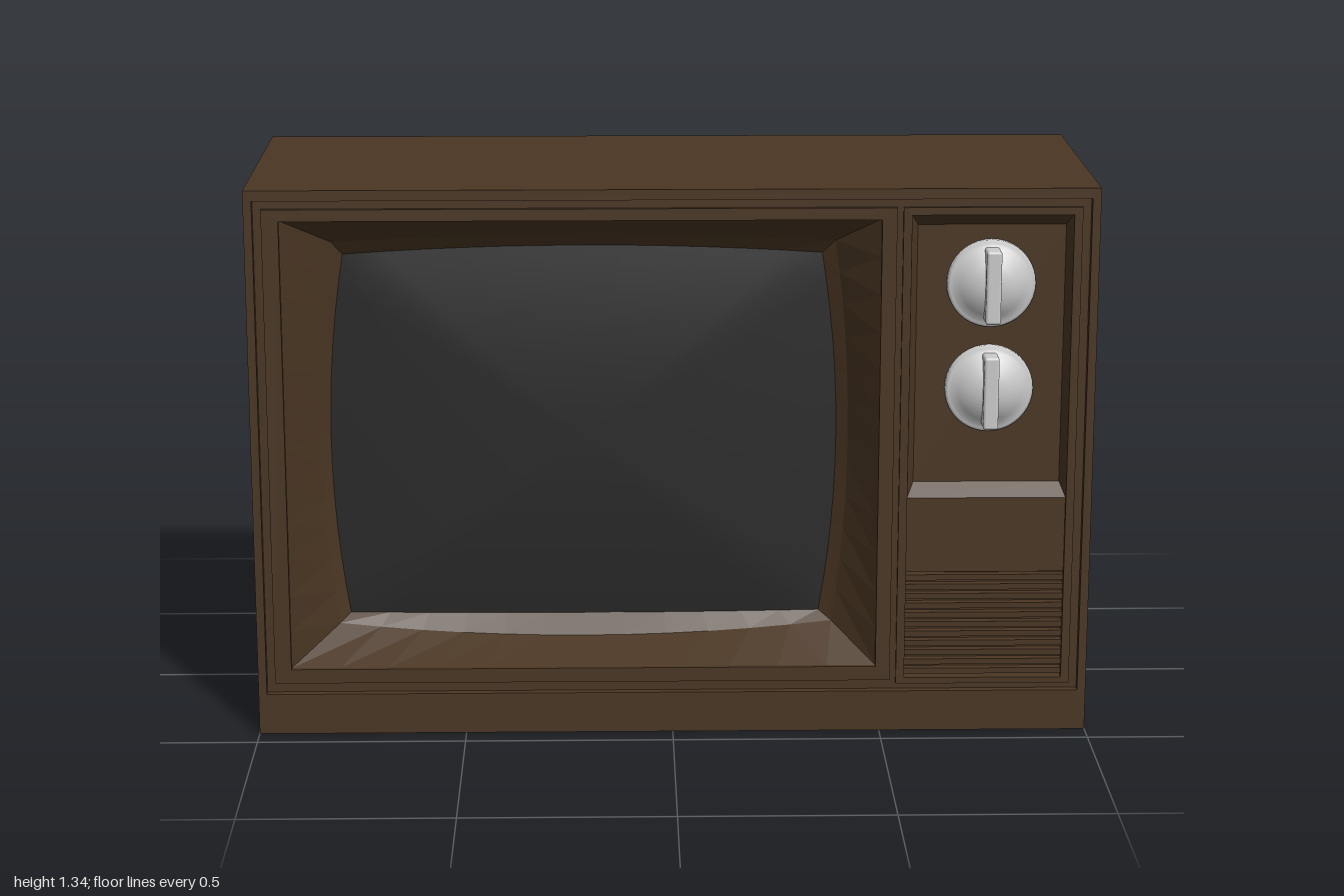
import * as THREE from 'three';
import { RoundedBoxGeometry } from 'three/addons/geometries/RoundedBoxGeometry.js';

const brown = new THREE.MeshStandardMaterial({ color: 0x4a3623 });
const glass = new THREE.MeshStandardMaterial({ color: 0x2a2a2a });
const grey = new THREE.MeshStandardMaterial({ color: 0xcccccc });

// Rectangle as [x0, x1, y0, y1], counter-clockwise, with sides bowed outwards.
function outline([x0, x1, y0, y1], bowX = 0, bowTop = 0, bowBottom = bowTop, steps = 12) {
  const pts = [];
  const side = (ax, ay, bx, by, ox, oy) => {
    for (let i = 0; i < steps; i++) {
      const t = i / steps, k = 4 * t * (1 - t);
      pts.push(new THREE.Vector2(ax + (bx - ax) * t + ox * k, ay + (by - ay) * t + oy * k));
    }
  };
  side(x0, y0, x1, y0, 0, -bowBottom);
  side(x1, y0, x1, y1, bowX, 0);
  side(x1, y1, x0, y1, 0, bowTop);
  side(x0, y1, x0, y0, -bowX, 0);
  return pts;
}
const rect = (r, steps = 1) => outline(r, 0, 0, 0, steps);

// Skin between loops given as [points, z or z function].
function loft(loops, smooth = false) {
  const pos = [], index = [], n = loops[0][0].length;
  for (const [pts, z] of loops) for (const p of pts) pos.push(p.x, p.y, z);
  for (let j = 0; j < loops.length - 1; j++) {
    for (let i = 0; i < n; i++) {
      const a = j * n + i, b = j * n + (i + 1) % n;
      index.push(a, b, b + n, a, b + n, a + n);
    }
  }
  let g = new THREE.BufferGeometry();
  g.setAttribute('position', new THREE.Float32BufferAttribute(pos, 3));
  g.setIndex(index);
  if (!smooth) g = g.toNonIndexed();
  g.computeVertexNormals();
  return g;
}

// Flat plate with rectangular holes, from z0 to z1.
function plate(outer, holes, z0, z1) {
  const shape = new THREE.Shape(rect(outer));
  for (const h of holes) shape.holes.push(new THREE.Path(rect(h)));
  return new THREE.ExtrudeGeometry(shape, { depth: z1 - z0, bevelEnabled: false }).translate(0, 0, z0);
}

function add(parent, name, geometry, material) {
  const mesh = new THREE.Mesh(geometry, material);
  mesh.name = name;
  parent.add(mesh);
  return mesh;
}

export function createModel() {
  const model = new THREE.Group();
  model.name = 'television';

  // Cabinet: open box with a solid back
  const face = [-0.98, 0.98, 0.1, 1.31];
  add(model, 'cabinet', plate([-1, 1, 0, 1.335], [face], -0.29, 0.44), brown);
  add(model, 'cabinetBack', plate(face, [], -0.29, -0.26), brown);

  // Front panel with openings for the screen, controls and grille
  const screenHole = [-0.92, 0.49, 0.16, 1.26];
  const controlHole = [0.56, 0.94, 0.58, 1.27];
  const grilleHole = [0.56, 0.94, 0.13, 0.395];
  add(model, 'frontPanel', plate(face, [screenHole, controlHole, grilleHole], 0.39, 0.42), brown);
  add(model, 'screenTrim', plate([-0.96, 0.525, 0.125, 1.288], [screenHole], 0.42, 0.432), brown);
  add(model, 'controlTrim', plate([0.54, 0.96, 0.115, 1.288], [[0.56, 0.94, 0.13, 1.27]], 0.42, 0.43), brown);

  // Sloped screen surround, narrowing to a bowed opening
  const opening = outline([-0.81, 0.39, 0.235, 1.185], 0.035, 0.015, 0.035);
  const edge = outline([-0.785, 0.36, 0.255, 1.15], 0.038, 0.02, 0.005);
  add(model, 'screenSurround', loft([[rect(screenHole, 12), 0.42], [opening, 0.3], [edge, 0.275]]), brown);

  // Gently domed picture tube
  const centre = new THREE.Vector2(-0.213, 0.703), rings = [];
  for (let j = 0; j <= 10; j++) {
    const t = j / 10;
    rings.push([edge.map((p) => p.clone().lerp(centre, t)), 0.275 + 0.035 * (1 - (1 - t) ** 2)]);
  }
  add(model, 'screen', loft(rings, true), glass);

  // Recessed control panel
  const well = [0.577, 0.927, 0.612, 1.24];
  add(model, 'controlWell', loft([[rect(controlHole), 0.42], [rect(well), 0.388]]), brown);
  add(model, 'controlPanel', plate(well, [], 0.37, 0.388), brown);

  // Speaker grille slats
  add(model, 'grilleBack', plate(grilleHole, [], 0.38, 0.4), brown);
  for (let i = 0; i < 11; i++) {
    const slat = new THREE.BoxGeometry(0.38, 0.014, 0.022);
    add(model, 'grilleSlat', slat.translate(0.75, 0.144 + i * 0.0237, 0.41), brown);
  }

  // Two dials, each with a rim, a domed face and a grip bar
  const profile = [[0.105, 0], [0.105, 0.012], [0.098, 0.018], [0.09, 0.016], [0.075, 0.03], [0.05, 0.046], [0.025, 0.053], [0, 0.055]]
    .map(([r, h]) => new THREE.Vector2(r, h));
  for (const y of [1.1, 0.845]) {
    const knob = new THREE.Group();
    knob.name = 'knob';
    knob.position.set(0.752, y, 0.388);
    add(knob, 'dial', new THREE.LatheGeometry(profile, 40).rotateX(Math.PI / 2), grey);
    add(knob, 'grip', new RoundedBoxGeometry(0.036, 0.176, 0.06, 3, 0.007).translate(0, 0, 0.042), grey);
    model.add(knob);
  }

  // Tapered rear housing with two recesses
  const rearFace = [-0.71, 0.4, 0.21, 1.13];
  const recesses = [[0.14, 0.33, 0.545, 0.84], [-0.66, -0.27, 0.975, 1.07]];
  const base = rect([-0.79, 0.47, 0.055, 1.28]).reverse();
  add(model, 'rearHousing', loft([[base, -0.29], [rect(rearFace).reverse(), -0.46]]), grey);
  add(model, 'rearPlate', plate(rearFace, recesses, -0.46, -0.415), grey);
  for (const r of recesses) add(model, 'recessFloor', plate(r, [], -0.415, -0.4), grey);

  return model;
}
